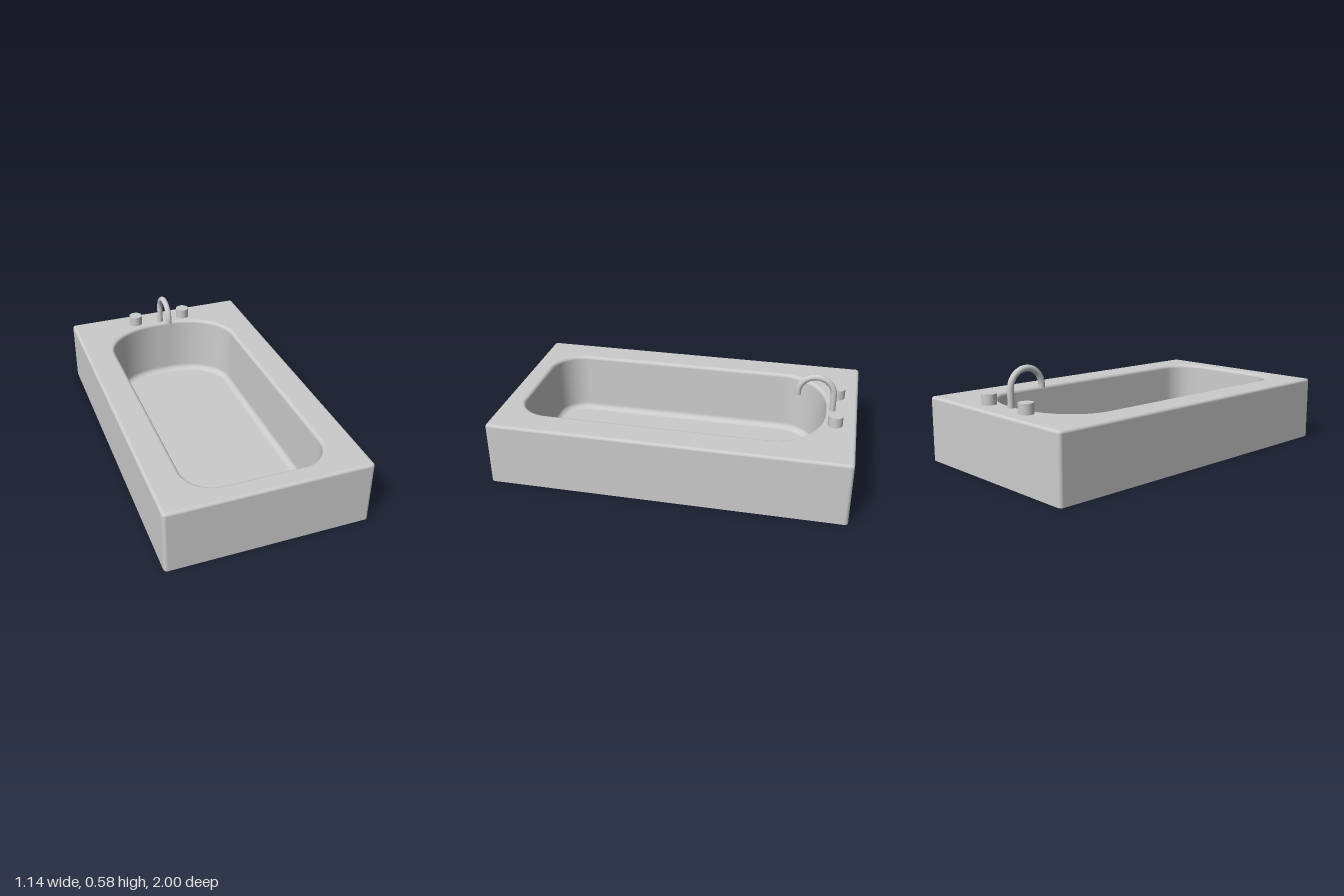
import * as THREE from 'three';

const HEIGHT = 0.367;
const SEGMENTS = 14;

// Corners in order +x+z, -x+z, -x-z, +x-z: centre x, centre z, radius x, radius z.
const mirrored = (front, back) => {
  const [fx, fz, fr, fs] = front, [bx, bz, br, bs] = back;
  return [[fx, fz, fr, fs], [-fx, fz, fr, fs], [-bx, bz, br, bs], [bx, bz, br, bs]];
};
const OUTER = mirrored([0.548, 0.98, 0.02, 0.02], [0.548, -0.98, 0.02, 0.02]);
const BASIN = mirrored([0.215, 0.71, 0.17, 0.17], [0.035, -0.545, 0.35, 0.275]);

// Closed outline in plan, shrunk by an inset.
function outline(corners, inset) {
  const points = [];
  corners.forEach(([cx, cz, rx, rz], q) => {
    for (let i = 0; i <= SEGMENTS; i++) {
      const t = (q + i / SEGMENTS) * Math.PI / 2;
      points.push(new THREE.Vector2(cx + (rx - inset) * Math.cos(t), cz + (rz - inset) * Math.sin(t)));
    }
  });
  return points;
}

// Skin through outlines stacked along a profile of [inset, y].
function loft(corners, profile) {
  const positions = [], index = [];
  for (const [inset, y] of profile) {
    for (const p of outline(corners, inset)) positions.push(p.x, y, p.y);
  }
  const n = corners.length * (SEGMENTS + 1);
  for (let i = 0; i < profile.length - 1; i++) {
    for (let j = 0; j < n; j++) {
      const a = i * n + j, b = i * n + (j + 1) % n;
      index.push(a, a + n, b, b, a + n, b + n);
    }
  }
  const geometry = new THREE.BufferGeometry();
  geometry.setAttribute('position', new THREE.Float32BufferAttribute(positions, 3));
  geometry.setIndex(index);
  geometry.computeVertexNormals();
  return geometry;
}

// Flat horizontal face, with an optional hole.
function flat(points, y, hole) {
  const flip = list => list.map(p => new THREE.Vector2(p.x, -p.y));
  const shape = new THREE.Shape(flip(points));
  if (hole) shape.holes.push(new THREE.Path(flip(hole)));
  return new THREE.ShapeGeometry(shape).rotateX(-Math.PI / 2).translate(0, y, 0);
}

// Rounded profile points; angles in degrees around (inset, y).
function arc(inset, y, r, from, to, steps = 6) {
  return Array.from({ length: steps + 1 }, (_, i) => {
    const t = THREE.MathUtils.degToRad(from + (to - from) * i / steps);
    return [inset + r * Math.cos(t), y + r * Math.sin(t)];
  });
}

export function createModel() {
  const model = new THREE.Group();
  const shellMaterial = new THREE.MeshStandardMaterial({ color: 0xcccccc, side: THREE.DoubleSide });
  const metal = new THREE.MeshStandardMaterial({ color: 0xcccccc });
  const add = (parent, name, geometry, material) => {
    const mesh = new THREE.Mesh(geometry, material);
    mesh.name = name;
    parent.add(mesh);
    return mesh;
  };

  // Tub: open-bottomed surround, flat rim and hollow basin
  const tub = new THREE.Group();
  tub.name = 'tub';
  model.add(tub);
  const edge = 0.016, lip = 0.02, lipInset = -0.025, floorY = 0.002, cove = 0.035, draft = 0.004;
  add(tub, 'surround', loft(OUTER, [[0, 0], ...arc(edge, HEIGHT - edge, edge, 180, 90)]), shellMaterial);
  add(tub, 'rim', flat(outline(OUTER, edge), HEIGHT, outline(BASIN, lipInset)), shellMaterial);
  add(tub, 'basinWall', loft(BASIN, [
    ...arc(lipInset, HEIGHT - lip, lip, 90, 0),
    ...arc(draft + cove, floorY + cove, cove, 180, 270, 8),
  ]), shellMaterial);
  add(tub, 'basinFloor', flat(outline(BASIN, draft + cove), floorY), shellMaterial);

  // Tap: swan-neck spout and its flat end
  const tap = new THREE.Group();
  tap.name = 'tap';
  model.add(tap);
  const pipe = 0.0175, bend = 0.1, bendY = 0.464, bendZ = -0.76, endY = 0.45;
  const path = new THREE.CurvePath();
  const at = (y, z) => new THREE.Vector3(0, y, z);
  const bendPoints = Array.from({ length: 25 }, (_, i) => {
    const t = Math.PI * i / 24;
    return at(bendY + bend * Math.sin(t), bendZ - bend * Math.cos(t));
  });
  path.add(new THREE.LineCurve3(at(HEIGHT - 0.01, bendZ - bend), bendPoints[0]));
  path.add(new THREE.CatmullRomCurve3(bendPoints));
  path.add(new THREE.LineCurve3(bendPoints[24], at(endY, bendZ + bend)));
  add(tap, 'spout', new THREE.TubeGeometry(path, 64, pipe, 20), metal);
  add(tap, 'spoutEnd', new THREE.CircleGeometry(pipe, 20).rotateX(Math.PI / 2), metal)
    .position.set(0, endY, bendZ + bend);

  // Pair of round handles
  for (const [name, side] of [['leftHandle', 1], ['rightHandle', -1]]) {
    add(tap, name, new THREE.CylinderGeometry(0.041, 0.041, 0.067, 32), metal)
      .position.set(side * 0.163, 0.3915, -0.883);
  }
  return model;
}
